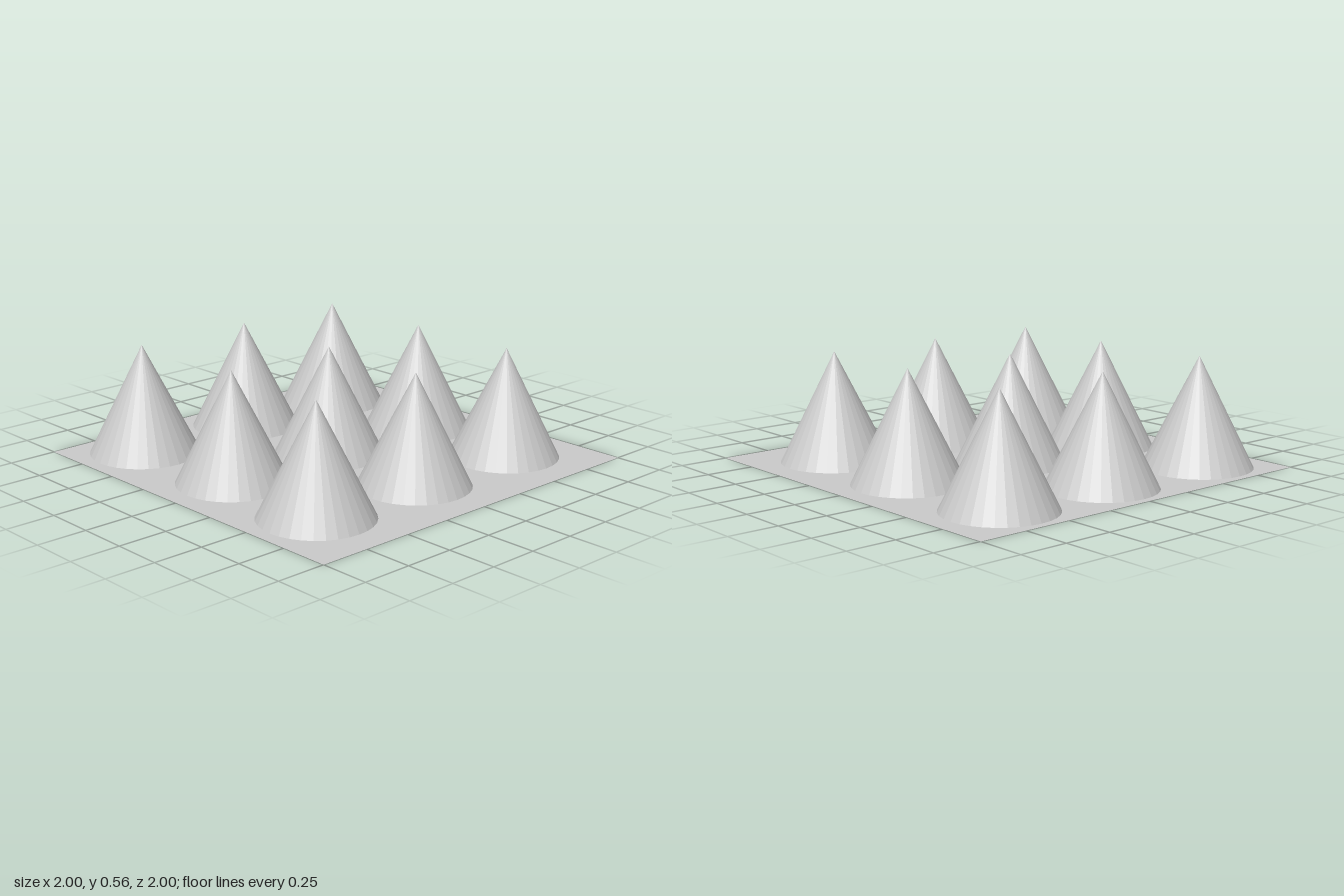
import * as THREE from 'three';

const RADIUS = 0.278;
const HEIGHT = 0.555;

// Cone centres [x, z], slightly off a regular 3 x 3 grid
const CENTRES = [
  [-0.66, -0.69], [0, -0.69], [0.63, -0.69],
  [-0.63, -0.035], [-0.005, -0.035], [0.63, -0.035],
  [-0.66, 0.585], [-0.03, 0.585], [0.61, 0.585],
];

export function createModel() {
  const group = new THREE.Group();
  group.name = 'conesOnPlane';

  // Thin square ground sheet
  const sheet = new THREE.Mesh(
    new THREE.PlaneGeometry(2, 2).rotateX(-Math.PI / 2),
    new THREE.MeshStandardMaterial({ color: 0xcccccc, side: THREE.DoubleSide }),
  );
  sheet.name = 'groundSheet';
  group.add(sheet);

  // Faceted cones, standing just clear of the sheet
  const coneGeometry = new THREE.ConeGeometry(RADIUS, HEIGHT, 32).translate(0, HEIGHT / 2, 0);
  const coneMaterial = new THREE.MeshStandardMaterial({ color: 0xcccccc, flatShading: true });
  CENTRES.forEach(([x, z], i) => {
    const cone = new THREE.Mesh(coneGeometry, coneMaterial);
    cone.name = `cone${i + 1}`;
    cone.position.set(x, 0.002, z);
    group.add(cone);
  });

  return group;
}
